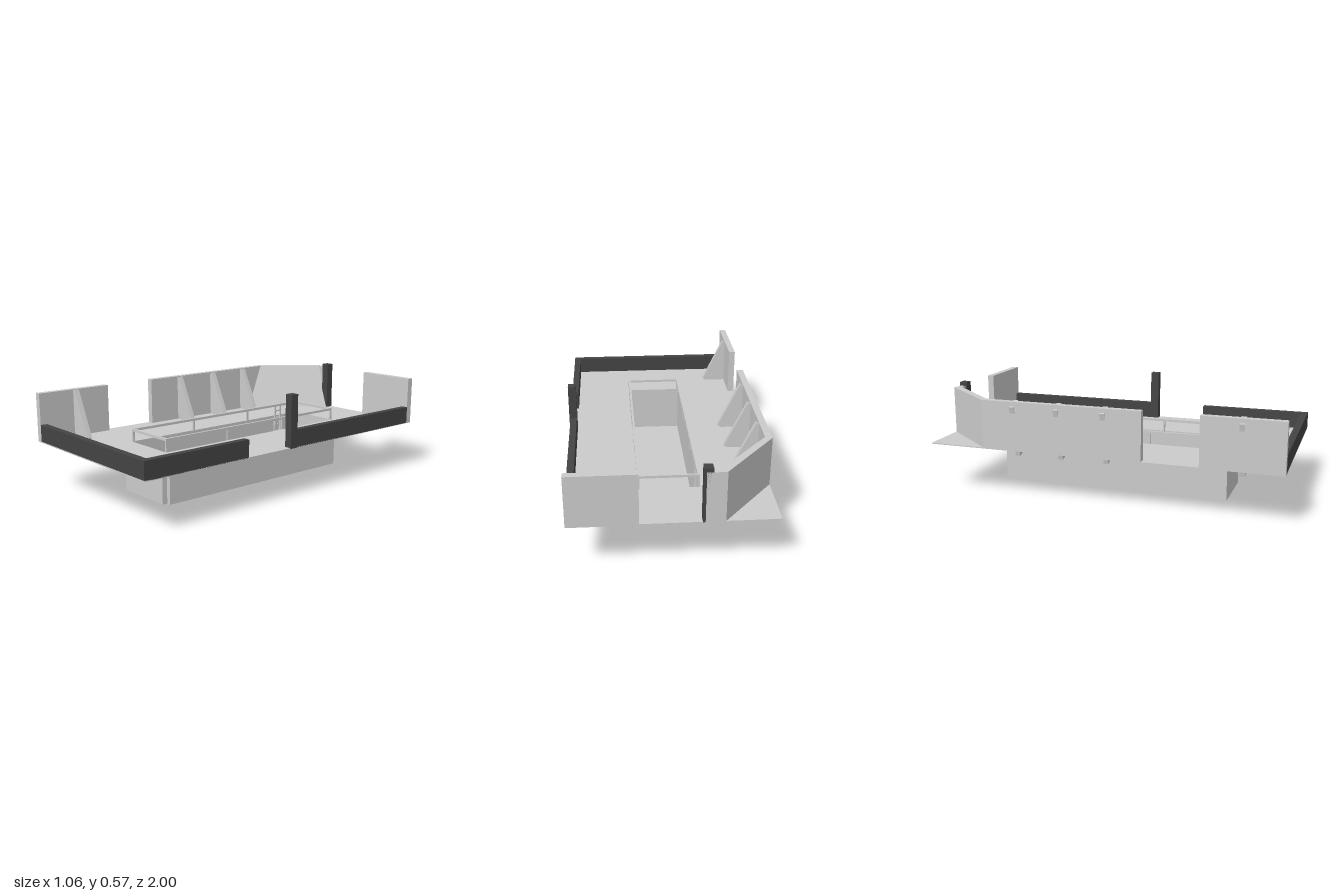
import * as THREE from 'three';

const grey = new THREE.MeshStandardMaterial({ color: 0xcccccc, flatShading: true });
const dark = new THREE.MeshStandardMaterial({ color: 0x444444, flatShading: true });

export function createModel() {
  const model = new THREE.Group();

  // Box given by its extents on each axis
  function box(name, [x0, x1], [y0, y1], [z0, z1], material = grey, parent = model) {
    const mesh = new THREE.Mesh(new THREE.BoxGeometry(x1 - x0, y1 - y0, z1 - z0), material);
    mesh.position.set((x0 + x1) / 2, (y0 + y1) / 2, (z0 + z1) / 2);
    mesh.name = name;
    parent.add(mesh);
    return mesh;
  }

  function group(name) {
    const g = new THREE.Group();
    g.name = name;
    model.add(g);
    return g;
  }

  const W = 0.525, T = 0.037, base = 0.28;
  const hole = { x0: -0.16, x1: 0.165, z0: -0.67, z1: 0.615 };

  // Floor slab with the pit opening
  const outline = new THREE.Shape([
    new THREE.Vector2(-W, -1), new THREE.Vector2(W, -1),
    new THREE.Vector2(W, 1), new THREE.Vector2(-W, 1),
  ]);
  outline.holes.push(new THREE.Path([
    new THREE.Vector2(hole.x0, -hole.z0), new THREE.Vector2(hole.x1, -hole.z0),
    new THREE.Vector2(hole.x1, -hole.z1), new THREE.Vector2(hole.x0, -hole.z1),
  ]));
  const floorGeo = new THREE.ExtrudeGeometry(outline, { depth: 0.006, bevelEnabled: false });
  floorGeo.rotateX(-Math.PI / 2);
  const floor = new THREE.Mesh(floorGeo, grey);
  floor.position.y = 0.277;
  floor.name = 'floor';
  model.add(floor);

  // Sunken pit: four walls with notched corners and a bottom
  const pit = group('pit');
  const py = [0, 0.277], t = 0.03;
  box('pitLeftWall', [hole.x1, hole.x1 + 0.026], py, [hole.z0, hole.z1], grey, pit);
  box('pitRightWall', [hole.x0 - t, hole.x0], py, [hole.z0, hole.z1], grey, pit);
  box('pitFrontWall', [hole.x0 - t, hole.x1], py, [hole.z1, hole.z1 + t], grey, pit);
  box('pitBackWall', [hole.x0 - t, hole.x1], py, [hole.z0 - t, hole.z0], grey, pit);
  box('pitBottom', [hole.x0, hole.x1], [0, 0.01], [hole.z0, hole.z1], grey, pit);

  // Railing around the pit
  const railing = group('railing');
  const r = 0.012, railY = [0.343, 0.357];
  for (const x of [hole.x0, hole.x1 - r]) {
    box('sideRail', [x, x + r], railY, [hole.z0, hole.z1], grey, railing);
    for (let i = 0; i < 4; i++) {
      const z = hole.z0 + (i / 3) * (hole.z1 - hole.z0 - r);
      box('railPost', [x, x + r], [base, 0.345], [z, z + r], grey, railing);
    }
  }
  for (const z of [hole.z0, hole.z1 - r])
    box('endRail', [hole.x0, hole.x1], railY, [z, z + r], grey, railing);

  // Ladder down the pit wall
  const ladder = group('ladder');
  for (const z of [-0.53, -0.484])
    box('ladderStile', [-0.16, -0.15], [0.01, 0.345], [z, z + 0.008], grey, ladder);
  for (let i = 0; i < 7; i++) {
    const y = 0.04 + i * 0.045;
    box('ladderRung', [-0.158, -0.152], [y, y + 0.008], [-0.53, -0.476], grey, ladder);
  }

  // Tall walls
  const tall = [base, 0.555];
  box('rightWallFront', [-W, -W + T], tall, [0.56, 1]);
  box('rightWallBack', [-W, -W + T], tall, [-0.67, 0.25]);
  box('backWall', [0.17, W], tall, [-1, -0.962]);
  box('backWallStub', [-0.25, -0.15], [base, 0.553], [-1, -0.962]);

  // Corner wall, its inner face leaning outward from a wider foot
  const foot = [[-0.525, -0.67], [-0.49, -0.55], [-0.14, -0.955], [-0.25, -1]];
  const head = [[-0.525, -0.67], [-0.49, -0.655], [-0.225, -0.965], [-0.25, -1]];
  const pos = [
    ...foot.flatMap(([x, z]) => [x, base, z]),
    ...head.flatMap(([x, z]) => [x, 0.555, z]),
  ];
  const index = [4, 5, 6, 4, 6, 7, 0, 2, 1, 0, 3, 2];
  for (let i = 0; i < 4; i++) {
    const j = (i + 1) % 4;
    index.push(i, j, j + 4, i, j + 4, i + 4);
  }
  const cornerGeo = new THREE.BufferGeometry();
  cornerGeo.setAttribute('position', new THREE.Float32BufferAttribute(pos, 3));
  cornerGeo.setIndex(index);
  cornerGeo.computeVertexNormals();
  const corner = new THREE.Mesh(cornerGeo, grey);
  corner.name = 'cornerWall';
  model.add(corner);

  // Leaning buttresses that pass through the right wall and floor
  const fin = new THREE.Shape([
    new THREE.Vector2(-0.47, 0.237), new THREE.Vector2(-0.346, 0.293),
    new THREE.Vector2(-0.472, 0.555), new THREE.Vector2(-0.533, 0.527),
  ]);
  const finGeo = new THREE.ExtrudeGeometry(fin, { depth: 0.028, bevelEnabled: false });
  for (const z of [0.775, 0.037, -0.227, -0.485]) {
    const buttress = new THREE.Mesh(finGeo, grey);
    buttress.position.z = z - 0.014;
    buttress.name = 'buttress';
    model.add(buttress);
  }

  // Low dark parapets
  const low = [base, 0.378];
  box('frontParapet', [-W + T, W], low, [0.962, 1], dark);
  box('leftParapetFront', [W - T, W], low, [0.35, 0.962], dark);
  box('leftParapetBack', [W - T, W], low, [-0.962, 0.03], dark);

  // Dark posts
  box('leftPost', [0.486, 0.531], [base, 0.575], [0.005, 0.053], dark);
  box('backPost', [-0.183, -0.137], [base, 0.575], [-1, -0.953], dark);

  return model;
}
